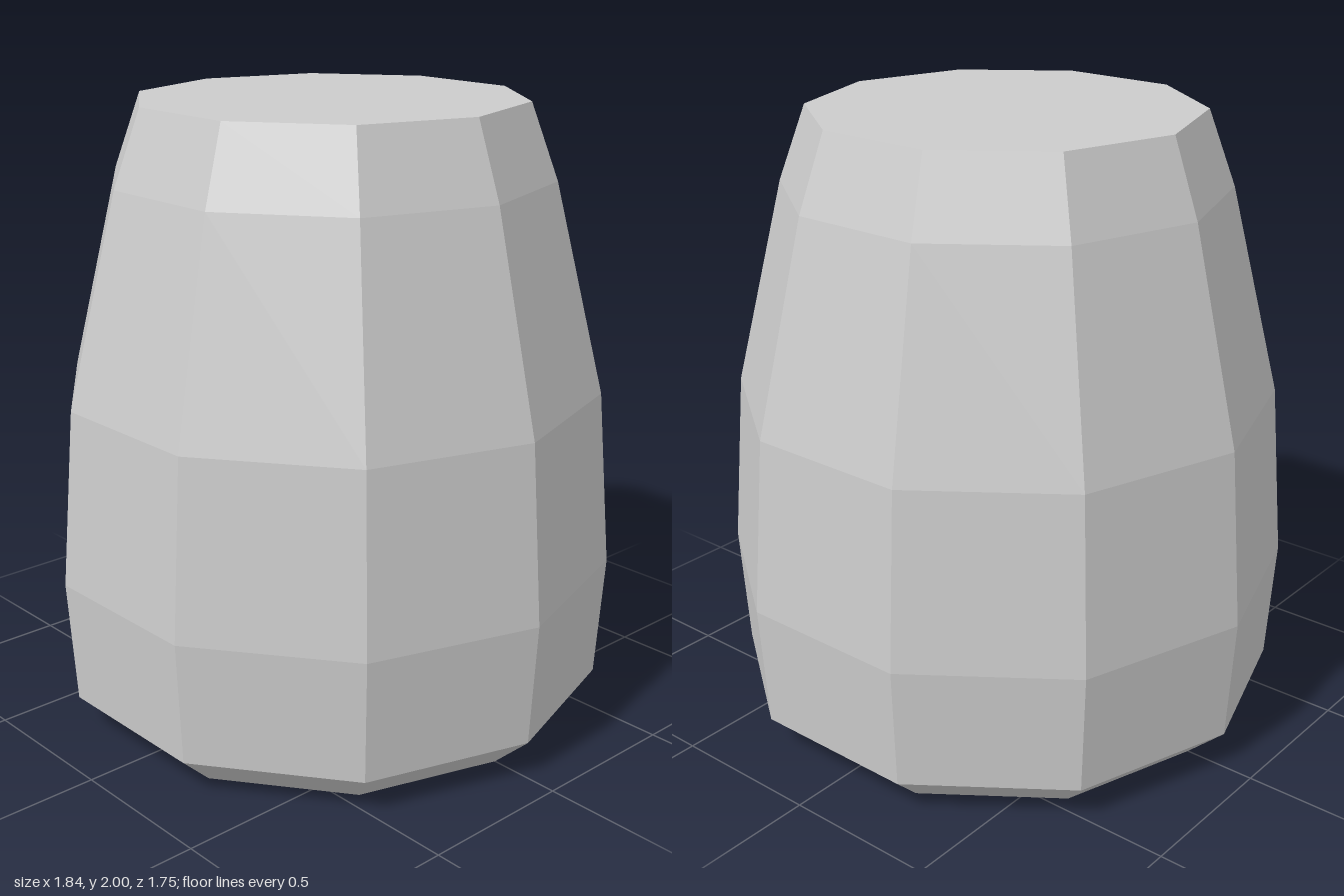
import * as THREE from 'three';

export function createModel() {
  const model = new THREE.Group();
  const material = new THREE.MeshStandardMaterial({
    color: 0xcccccc, flatShading: true, side: THREE.DoubleSide,
  });

  // Hollow ten-sided body: floor with a small drain hole, bevel, bulging wall, flat top
  const profile = [
    [0.045, 0], [0.765, 0], [0.895, 0.12], [0.92, 0.52],
    [0.873, 1.09], [0.708, 1.76], [0.62, 2], [0, 2],
  ].map(([r, y]) => new THREE.Vector2(r, y));

  // Starting at a quarter turn puts corners on the x axis
  const body = new THREE.Mesh(new THREE.LatheGeometry(profile, 10, Math.PI / 2), material);
  body.name = 'body';
  model.add(body);
  return model;
}
